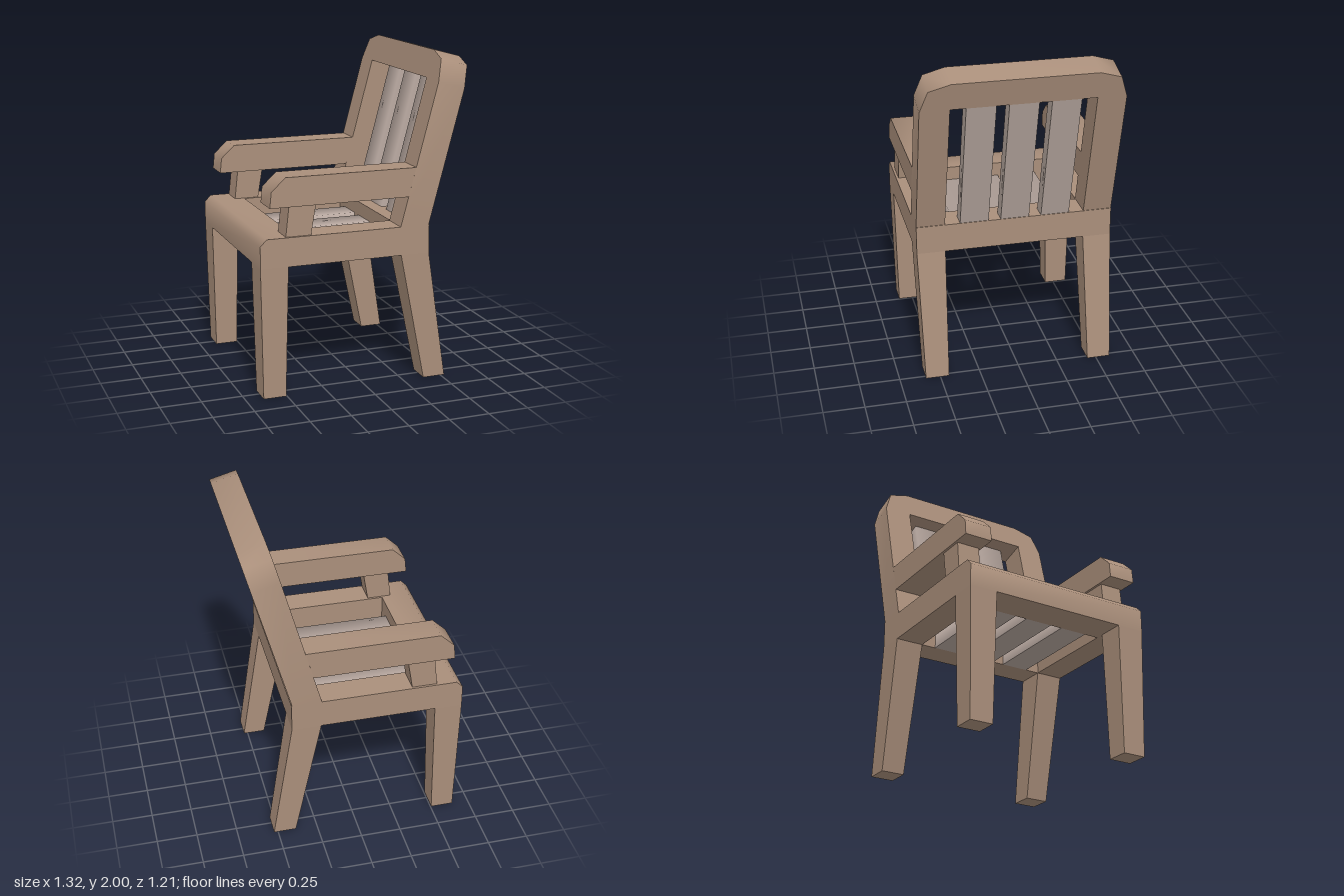
import * as THREE from 'three';
import { toCreasedNormals } from 'three/addons/utils/BufferGeometryUtils.js';

const HALF = 0.605;   // half of the overall width
const RAIL = 0.175;   // timber thickness
const INNER = HALF - RAIL;
const SEAT_LOW = 0.8, SEAT_TOP = 0.975;

export function createModel() {
  const chair = new THREE.Group();
  chair.name = 'armchair';
  const wood = new THREE.MeshStandardMaterial({ color: 0xaa8f7b });
  wood.name = 'brown wood';
  const pale = new THREE.MeshStandardMaterial({ color: 0xb7a79f });
  pale.name = 'pale slat wood';

  function add(parent, name, geometry, material = wood) {
    const mesh = new THREE.Mesh(geometry, material);
    mesh.name = name;
    parent.add(mesh);
    return mesh;
  }

  // Prism with soft bevels: outline in x-y, extruded along z
  function extrude(points, depth) {
    const shape = new THREE.Shape(points.map(([x, y]) => new THREE.Vector2(x, y)));
    return toCreasedNormals(new THREE.ExtrudeGeometry(shape, { depth, bevelEnabled: false }), 1.0);
  }

  // Tapered post: each end is [y, xMin, xMax, zMin, zMax]
  function post(low, high) {
    const g = new THREE.BoxGeometry(1, 1, 1);
    const p = g.attributes.position;
    for (let i = 0; i < p.count; i++) {
      const end = p.getY(i) > 0 ? high : low;
      p.setXYZ(i, p.getX(i) > 0 ? end[2] : end[1], end[0], p.getZ(i) > 0 ? end[4] : end[3]);
    }
    g.computeVertexNormals();
    return g;
  }

  // Slat along x whose upper face shades softly into its sides
  function slat(length, thickness, width) {
    const g = new THREE.BoxGeometry(length, thickness, width);
    const p = g.attributes.position, n = g.attributes.normal;
    const v = new THREE.Vector3();
    for (let i = 0; i < p.count; i++) {
      if (Math.abs(n.getX(i)) > 0.5 || n.getY(i) < -0.5) continue;
      v.set(0, p.getY(i) > 0 ? 1 : 0, Math.sign(p.getZ(i))).normalize();
      n.setXYZ(i, v.x, v.y, v.z);
    }
    return g;
  }

  // Seat frame
  const frontRail = [[-0.66, SEAT_LOW], [-0.44, SEAT_LOW], [-0.44, SEAT_TOP], [-0.62, SEAT_TOP], [-0.66, 0.935]];
  add(chair, 'seatFrontRail', extrude(frontRail, HALF * 2)).position.z = -HALF;
  add(chair, 'seatRearRail', post([SEAT_LOW, 0.22, 0.4, -HALF, HALF], [SEAT_TOP, 0.22, 0.4, -HALF, HALF]));

  // Legs, side rails and arms on both sides
  for (const [label, s] of [['left', 1], ['right', -1]]) {
    const z = (a, b) => (s > 0 ? [a, b] : [-b, -a]);
    const wide = z(INNER, HALF), narrow = z(0.445, 0.59);
    const side = new THREE.Group();
    side.name = label + 'Side';
    chair.add(side);
    add(side, 'frontLeg', post([0, -0.645, -0.505, ...narrow], [SEAT_LOW, -0.66, -0.49, ...wide]));
    add(side, 'rearLeg', post([0, 0.385, 0.525, ...narrow], [SEAT_LOW, 0.22, 0.4, ...wide]));
    add(side, 'seatSideRail', post([SEAT_LOW, -0.44, 0.22, ...wide], [SEAT_TOP, -0.44, 0.22, ...wide]));
    add(side, 'armSupport', post([SEAT_TOP, -0.5, -0.345, ...narrow], [1.155, -0.48, -0.315, ...narrow]));
    const arm = [[-0.6, 1.155], [0.263, 1.155], [0.31, 1.33], [-0.505, 1.33], [-0.59, 1.25]];
    add(side, 'armrest', extrude(arm, RAIL)).position.z = wide[0];
  }

  // Backrest, leaning back by 15 degrees: local y runs up, local z to the rear
  const back = new THREE.Group();
  back.name = 'backrest';
  back.position.set(0.215, SEAT_TOP, 0);
  back.rotation.set(0, Math.PI / 2, -Math.PI / 12, 'ZYX');
  chair.add(back);
  const openTop = 0.89, height = 1.061;
  const half = [[INNER, openTop], [INNER, 0], [HALF, 0], [HALF, 0.885], [0.56, 1.02], [INNER, height]];
  const mirrored = half.map(([x, y]) => [-x, y]).reverse();
  add(back, 'backFrame', extrude([...half, ...mirrored], RAIL));

  // Three slats in the seat and three in the back
  const upright = new THREE.Matrix4().makeBasis(
    new THREE.Vector3(0, 1, 0), new THREE.Vector3(0, 0, -1), new THREE.Vector3(-1, 0, 0));
  for (const z of [-0.25, 0, 0.25]) {
    add(chair, 'seatSlat', slat(0.66, RAIL / 2, RAIL), pale).position.set(-0.11, SEAT_LOW + RAIL / 4, z);
    add(back, 'backSlat', slat(openTop, RAIL / 2, RAIL).applyMatrix4(upright), pale)
      .position.set(z, openTop / 2, RAIL * 0.75);
  }
  return chair;
}
